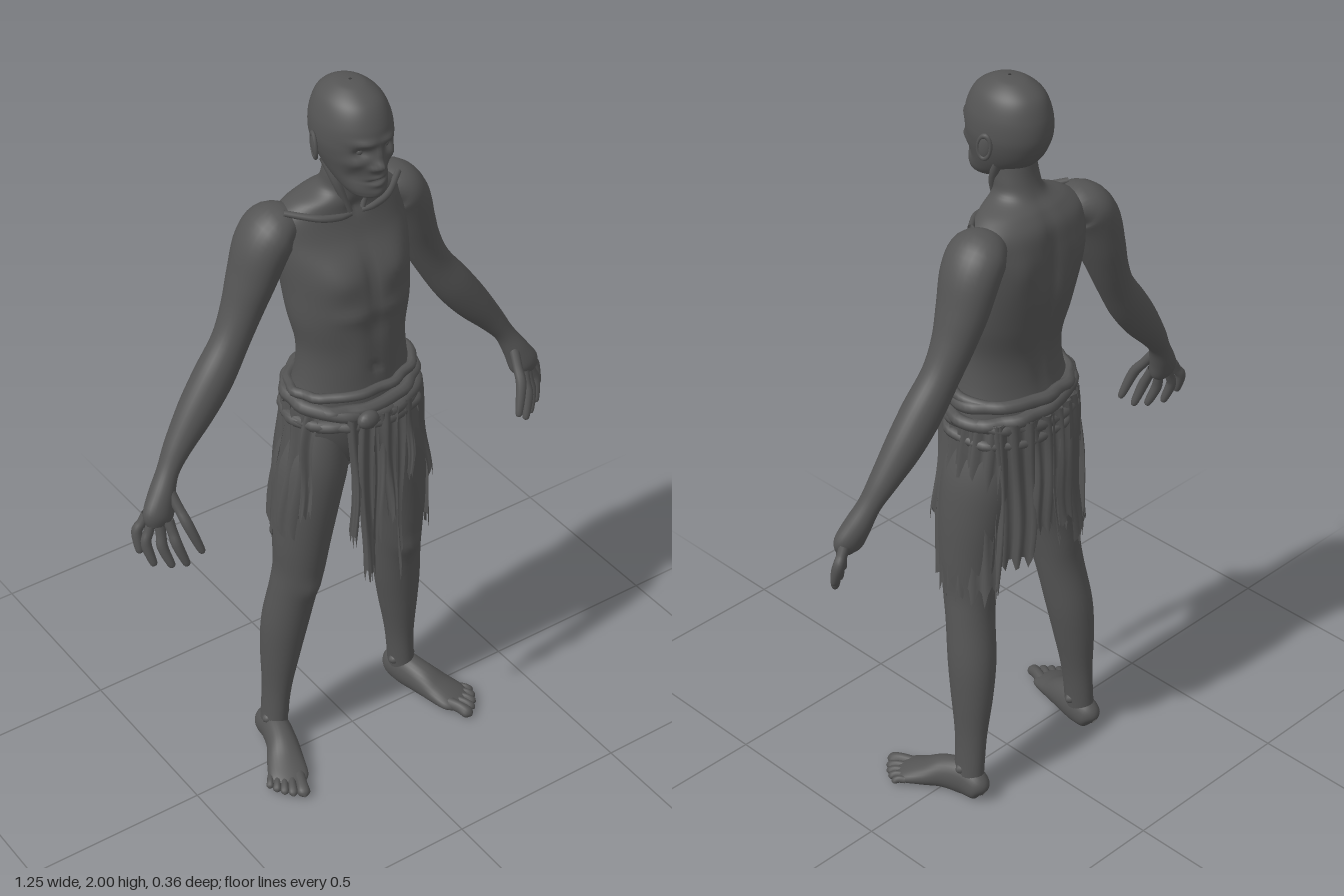
import * as THREE from 'three';

const mat = new THREE.MeshStandardMaterial({ color: 0x545454, side: THREE.DoubleSide });
mat.name = 'dark grey';

const V3 = (x, y, z) => new THREE.Vector3(x, y, z);
const AXIS_Y = V3(0, 1, 0), AXIS_Z = V3(0, 0, 1), DOWN = V3(0, -1, 0);

function part(name, geometry) {
  const m = new THREE.Mesh(geometry, mat);
  m.name = name;
  return m;
}

// Smooth interpolation through rows of numbers
function sample(rows, t) {
  const f = t * (rows.length - 1), i = Math.min(Math.floor(f), rows.length - 2), u = f - i;
  const at = k => rows[Math.max(0, Math.min(rows.length - 1, k))];
  return rows[0].map((_, c) => {
    const p0 = at(i - 1)[c], p1 = at(i)[c], p2 = at(i + 1)[c], p3 = at(i + 2)[c];
    return p1 + 0.5 * u * (p2 - p0 + u * (2 * p0 - 5 * p1 + 4 * p2 - p3 + u * (3 * (p1 - p2) + p3 - p0)));
  });
}

// Grid of points to an indexed smooth surface
function grid(rows, closed) {
  const n = rows[0].length, index = [], w = closed ? n : n - 1;
  for (let i = 0; i < rows.length - 1; i++) {
    for (let j = 0; j < w; j++) {
      const a = i * n + j, b = i * n + (j + 1) % n;
      index.push(a, b, a + n, b, b + n, a + n);
    }
  }
  const g = new THREE.BufferGeometry().setFromPoints(rows.flat());
  g.setIndex(index);
  g.computeVertexNormals();
  return g;
}

// Skin over sections [x, y, z, half width, half depth]
function loft(sections, { n = 20, steps = 30, ref = AXIS_Z, tangent = null, sculpt = null } = {}) {
  const rows = [];
  for (let i = 0; i <= steps; i++) {
    const t = i / steps, s = sample(sections, t);
    const p = sample(sections, Math.max(0, t - 0.01)), q = sample(sections, Math.min(1, t + 0.01));
    const T = tangent || V3(q[0] - p[0], q[1] - p[1], q[2] - p[2]).normalize();
    const U = V3().crossVectors(ref, T).normalize(), W = V3().crossVectors(T, U);
    const row = [];
    for (let j = 0; j < n; j++) {
      const a = j / n * Math.PI * 2;
      const v = V3(s[0], s[1], s[2])
        .addScaledVector(U, Math.cos(a) * Math.max(s[3], 0.0005))
        .addScaledVector(W, Math.sin(a) * Math.max(s[4], 0.0005));
      if (sculpt) sculpt(v);
      row.push(v);
    }
    rows.push(row);
  }
  return grid(rows, true);
}

// Soft mirrored dents and swellings: [x, y, z, size x, size y, size z, push along z]
function sculptor(bumps) {
  return v => {
    const { x, y, z } = v;
    for (const [cx, cy, cz, sx, sy, sz, d] of bumps) {
      const e = ((Math.abs(x) - cx) / sx) ** 2 + ((y - cy) / sy) ** 2 + ((z - cz) / sz) ** 2;
      v.z += d * Math.exp(-e);
    }
  };
}

// Ragged cloth strip hanging from the waist; angle 90 is the front
function strip(angle, width, length, flare, taper, seed) {
  const rows = [], cols = 12, steps = 12;
  for (let i = 0; i <= steps; i++) {
    const v = i / steps, row = [];
    for (let j = 0; j <= cols; j++) {
      const u = j / cols - 0.5;
      const jag = 0.11 * Math.abs(Math.sin(j * 2.3 + seed)) + 0.3 * taper * Math.abs(u);
      const a = THREE.MathUtils.degToRad(angle + u * width * (1 - taper * v) + 2 * Math.sin(v * 5 + seed));
      const fold = 0.007 * Math.sin(u * width * 0.45 + seed + v) + 0.004 * Math.sin(v * 7 + seed);
      row.push(V3(Math.cos(a) * (0.178 + flare * v + fold), 1.14 - length * v * (1 - jag),
        -0.01 + Math.sin(a) * (0.152 + 0.012 * v + fold)));
    }
    rows.push(row);
  }
  return grid(rows, false);
}

export function createModel() {
  const model = new THREE.Group();
  model.name = 'figure';
  const add = (name, g, parent = model) => { const m = part(name, g); parent.add(m); return m; };

  // Torso and neck: y, centre z, half width, half depth
  const torso = [[1.83, -0.02, 0.05, 0.055], [1.76, -0.028, 0.057, 0.055], [1.715, -0.04, 0.068, 0.06],
    [1.685, -0.055, 0.13, 0.075], [1.65, -0.065, 0.172, 0.087], [1.6, -0.06, 0.18, 0.1],
    [1.54, -0.045, 0.177, 0.118], [1.47, -0.033, 0.17, 0.128], [1.39, -0.02, 0.163, 0.123],
    [1.3, -0.01, 0.146, 0.11], [1.22, -0.008, 0.15, 0.112], [1.12, -0.015, 0.17, 0.123],
    [1.02, -0.02, 0.165, 0.112], [0.95, -0.02, 0.11, 0.08], [0.92, -0.02, 0.01, 0.01]]
    .map(([y, z, a, b]) => [0, y, z, a, b]);
  add('torso', loft(torso, { n: 64, steps: 90, tangent: DOWN, sculpt: sculptor([
    [0.08, 1.51, 0.07, 0.055, 0.045, 0.06, 0.014], [0, 1.5, 0.09, 0.014, 0.08, 0.06, -0.008],
    [0.06, 1.41, 0.09, 0.05, 0.02, 0.06, 0.006], [0, 1.37, 0.1, 0.03, 0.04, 0.05, -0.008],
    [0, 1.25, 0.1, 0.01, 0.012, 0.05, -0.012], [0.04, 1.3, 0.1, 0.03, 0.06, 0.05, 0.004],
    [0, 1.45, -0.15, 0.02, 0.2, 0.08, 0.016], [0.1, 1.56, -0.13, 0.045, 0.07, 0.06, -0.014],
    [0, 1.67, 0.02, 0.018, 0.018, 0.05, -0.012]]) }));

  // Head: y, half width, front z, back z
  const head = [[2.0, 0.004, -0.005, -0.013], [1.993, 0.037, 0.035, -0.06], [1.965, 0.07, 0.08, -0.102],
    [1.92, 0.088, 0.104, -0.121], [1.875, 0.092, 0.109, -0.124], [1.84, 0.087, 0.107, -0.115],
    [1.805, 0.076, 0.106, -0.095], [1.775, 0.064, 0.108, -0.06], [1.752, 0.052, 0.108, -0.02],
    [1.738, 0.038, 0.1, 0.01], [1.732, 0.008, 0.06, 0.045]]
    .map(([y, a, f, b]) => [0, y, (f + b) / 2, a, (f - b) / 2]);
  add('head', loft(head, { n: 80, steps: 100, tangent: DOWN, sculpt: sculptor([
    [0.036, 1.862, 0.095, 0.018, 0.013, 0.06, -0.016], [0.032, 1.888, 0.1, 0.028, 0.01, 0.06, 0.008],
    [0, 1.826, 0.11, 0.012, 0.015, 0.06, 0.022], [0, 1.853, 0.11, 0.009, 0.02, 0.06, 0.01],
    [0.016, 1.82, 0.1, 0.007, 0.008, 0.06, 0.008], [0.055, 1.835, 0.08, 0.018, 0.015, 0.05, 0.008],
    [0.05, 1.795, 0.08, 0.016, 0.02, 0.05, -0.009], [0, 1.784, 0.11, 0.024, 0.004, 0.06, -0.008],
    [0, 1.792, 0.11, 0.018, 0.006, 0.06, 0.005], [0, 1.774, 0.11, 0.018, 0.006, 0.06, 0.004],
    [0, 1.75, 0.11, 0.02, 0.012, 0.06, 0.004]]) }));

  for (const s of [1, -1]) {
    const side = s > 0 ? 'left' : 'right';
    const mir = rows => rows.map(([x, ...r]) => [s * x, ...r]);

    // Eyes and ears
    const eye = add(side + 'Eye', new THREE.SphereGeometry(0.011, 16, 12));
    eye.position.set(s * 0.036, 1.862, 0.077);
    const ear = new THREE.Group();
    ear.name = side + 'Ear';
    add(side + 'EarBowl', new THREE.SphereGeometry(1, 20, 14).scale(0.006, 0.03, 0.016), ear);
    add(side + 'EarRim', new THREE.TorusGeometry(0.02, 0.005, 8, 24).rotateY(Math.PI / 2).scale(1, 1.5, 0.85), ear);
    ear.position.set(s * 0.095, 1.85, -0.02);
    ear.rotation.set(-0.15, s * 0.3, 0);
    model.add(ear);

    // Collarbone and neck cord
    add(side + 'Collarbone', loft(mir([[0.015, 1.652, 0.016, 0.006, 0.006], [0.05, 1.655, 0.018, 0.009, 0.009],
      [0.1, 1.662, 0.004, 0.009, 0.009], [0.165, 1.675, -0.045, 0.008, 0.008]]), { n: 10, ref: AXIS_Y }));
    add(side + 'NeckCord', loft(mir([[0.06, 1.8, -0.03, 0.012, 0.012], [0.045, 1.74, 0, 0.012, 0.012],
      [0.018, 1.66, 0.016, 0.007, 0.007]]), { n: 10 }));

    // Arm
    add(side + 'Arm', loft(mir([[0.1, 1.63, -0.07, 0.02, 0.03], [0.165, 1.628, -0.078, 0.056, 0.074],
      [0.203, 1.585, -0.083, 0.063, 0.08], [0.234, 1.5, -0.086, 0.057, 0.07], [0.265, 1.42, -0.085, 0.05, 0.056],
      [0.303, 1.345, -0.08, 0.047, 0.048], [0.358, 1.265, -0.073, 0.052, 0.05], [0.415, 1.19, -0.067, 0.048, 0.046],
      [0.475, 1.115, -0.058, 0.035, 0.036], [0.512, 1.062, -0.048, 0.027, 0.03], [0.54, 1.01, -0.035, 0.034, 0.033],
      [0.56, 0.965, -0.022, 0.042, 0.03], [0.568, 0.94, -0.015, 0.028, 0.018]]), { n: 28, steps: 60 }));

    // Fingers: base, knuckle and tip
    const fingers = [[[0.585, 0.97, -0.035], [0.612, 0.925, -0.04], [0.615, 0.868, -0.025]],
      [[0.578, 0.955, -0.025], [0.6, 0.895, -0.02], [0.59, 0.833, 0.0]],
      [[0.563, 0.95, -0.012], [0.568, 0.885, 0.005], [0.553, 0.828, 0.025]],
      [[0.545, 0.955, 0], [0.54, 0.895, 0.028], [0.522, 0.832, 0.045]],
      [[0.525, 1.02, -0.02], [0.51, 0.945, 0.035], [0.486, 0.865, 0.06]]];
    fingers.forEach(([b, k, t], i) => {
      const mid = b.map((v, c) => (v + k[c]) / 2);
      const near = k.map((v, c) => v + (t[c] - v) * 0.85);
      add(`${side}Finger${i + 1}`, loft(mir([[...b, 0.014, 0.014], [...mid, 0.013, 0.013], [...k, 0.014, 0.014],
        [...near, 0.01, 0.01], [...t, 0.002, 0.002]]), { n: 12, steps: 18 }));
    });

    // Leg
    add(side + 'Leg', loft(mir([[0.09, 1.08, -0.02, 0.07, 0.09], [0.112, 0.96, -0.02, 0.092, 0.102],
      [0.132, 0.85, -0.017, 0.087, 0.096], [0.148, 0.72, -0.015, 0.074, 0.082], [0.155, 0.62, -0.02, 0.064, 0.074],
      [0.165, 0.54, -0.032, 0.062, 0.066], [0.18, 0.42, -0.052, 0.06, 0.066], [0.19, 0.32, -0.061, 0.051, 0.06],
      [0.2, 0.2, -0.066, 0.037, 0.048], [0.207, 0.11, -0.068, 0.033, 0.045], [0.213, 0.04, -0.068, 0.034, 0.045]]),
      { n: 32, steps: 60, sculpt: sculptor([[0.155, 0.57, 0.04, 0.03, 0.035, 0.05, 0.01]]) }));
    const ankle = add(side + 'Ankle', new THREE.SphereGeometry(1, 16, 12).scale(0.042, 0.02, 0.02));
    ankle.position.set(s * 0.208, 0.09, -0.062);

    // Foot with a flat sole
    const flat = v => { v.y = Math.max(v.y, 0); };
    add(side + 'Foot', loft(mir([[0.21, 0.03, -0.126, 0.008, 0.01], [0.211, 0.038, -0.11, 0.032, 0.038],
      [0.214, 0.048, -0.06, 0.038, 0.052], [0.23, 0.044, 0, 0.042, 0.046], [0.252, 0.03, 0.05, 0.05, 0.032],
      [0.272, 0.019, 0.095, 0.053, 0.021], [0.282, 0.014, 0.118, 0.04, 0.014]]),
      { n: 28, steps: 40, ref: AXIS_Y, sculpt: flat }));
    const toes = [[0.245, 0.1, 0.275, 0.177, 0.017], [0.268, 0.1, 0.298, 0.158, 0.012],
      [0.286, 0.095, 0.314, 0.14, 0.011], [0.3, 0.085, 0.326, 0.12, 0.011], [0.312, 0.07, 0.334, 0.098, 0.01]];
    toes.forEach(([x, z, tx, tz, r], i) => {
      const m = k => [x + (tx - x) * k, z + (tz - z) * k];
      add(`${side}Toe${i + 1}`, loft(mir([[x, 0.02, z, r, r], [m(0.5)[0], 0.02, m(0.5)[1], r * 0.9, r],
        [m(0.85)[0], 0.014, m(0.85)[1], r, r * 0.85], [tx, 0.01, tz, 0.002, 0.002]]),
        { n: 12, steps: 14, ref: AXIS_Y, sculpt: flat }));
    });
  }

  // Twisted waist sash: height, tilt, phase, thickness
  [[1.185, 0.012, 0.4, 0.013], [1.165, 0.016, 2.6, 0.017], [1.14, 0.02, 4.2, 0.018], [1.118, 0.014, 1.2, 0.017],
    [1.095, 0.018, 5.5, 0.014]].forEach(([y, tilt, ph, r], k) => {
    const pts = [];
    for (let i = 0; i < 24; i++) {
      const a = i / 24 * Math.PI * 2, w = 0.004 * Math.sin(i * 2.7 + ph);
      pts.push(V3(Math.cos(a) * (0.165 + k * 0.003 + w), y + tilt * Math.sin(a + ph),
        -0.01 + Math.sin(a) * (0.126 + k * 0.004 + w)));
    }
    add('sashBand' + (k + 1), new THREE.TubeGeometry(new THREE.CatmullRomCurve3(pts, true), 72, r, 8, true));
  });
  const knot = add('sashKnot', new THREE.SphereGeometry(1, 16, 12).scale(0.03, 0.024, 0.02));
  knot.position.set(-0.05, 1.135, 0.14);

  // Ragged loincloth: angle, width, length, flare, taper
  [[106, 14, 0.54, 0.02, 0.3], [117, 9, 0.4, 0.02, 0.3], [97, 10, 0.44, 0.01, 0.4], [75, 12, 0.57, 0.01, 0.6],
    [86, 18, 0.36, 0.01, 0.5], [64, 8, 0.26, 0.01, 0.5], [5, 46, 0.55, 0.045, 0.25], [-25, 40, 0.54, 0.045, 0.2],
    [30, 16, 0.34, 0.04, 0.3], [178, 46, 0.4, 0.05, 0.1], [207, 42, 0.47, 0.045, 0.2], [155, 16, 0.32, 0.04, 0.3],
    [-55, 38, 0.44, 0.02, 0.2], [-80, 30, 0.36, 0.01, 0.3], [-104, 30, 0.38, 0.01, 0.3], [-128, 38, 0.46, 0.02, 0.2],
    [-42, 14, 0.54, 0.03, 0.5], [-140, 14, 0.52, 0.03, 0.5], [-92, 12, 0.42, 0.02, 0.6]]
    .forEach((a, i) => add('clothStrip' + (i + 1), strip(...a, i * 1.7)));

  return model;
}
